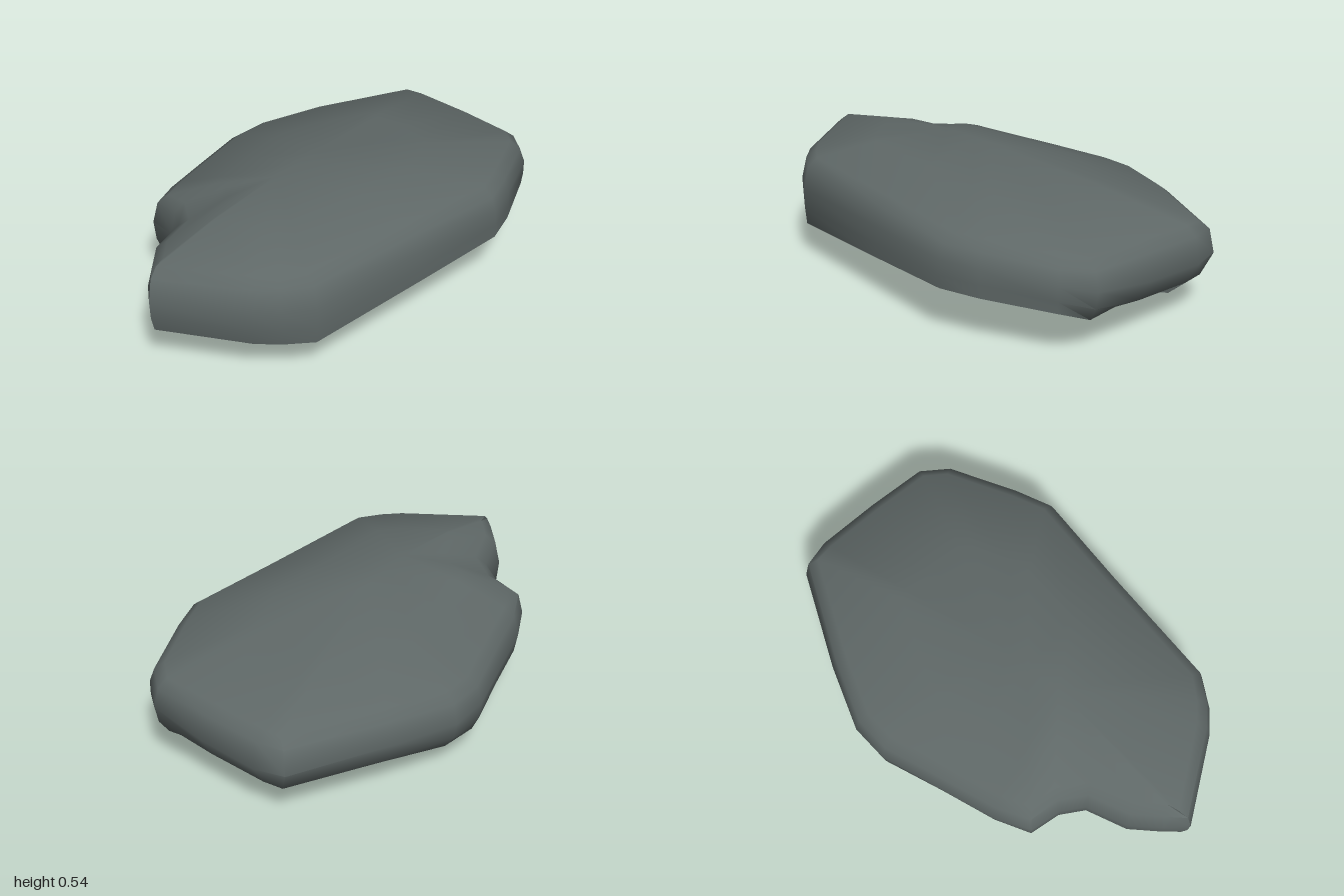
import * as THREE from 'three';
import { toCreasedNormals } from 'three/addons/utils/BufferGeometryUtils.js';

// Outline seen from above: x, z, top edge height, bottom edge height, bottom edge inset
const OUTLINE = [
  [-1, -0.08, 0.44, 0.17, 0.03], [-0.92, -0.16, 0.445, 0.16, 0.03],
  [-0.8, -0.245, 0.44, 0.14, 0.04], [-0.62, -0.29, 0.43, 0.12, 0.05],
  [-0.55, -0.37, 0.42, 0.12, 0.04], [-0.51, -0.505, 0.4, 0.12, 0.04],
  [-0.35, -0.565, 0.385, 0.11, 0.06], [-0.1, -0.61, 0.375, 0.11, 0.06],
  [0.17, -0.66, 0.36, 0.115, 0.04], [0.34, -0.64, 0.36, 0.1, 0.07],
  [0.6, -0.5, 0.38, 0.09, 0.12], [0.98, -0.255, 0.39, 0.08, 0.18],
  [1, -0.12, 0.395, 0.07, 0.21], [0.96, 0.15, 0.4, 0.08, 0.19],
  [0.91, 0.41, 0.4, 0.15, 0.06], [0.8, 0.515, 0.41, 0.2, 0.01],
  [0.5, 0.615, 0.425, 0.21, 0], [0.33, 0.655, 0.43, 0.215, 0],
  [-0.1, 0.565, 0.435, 0.185, 0], [-0.64, 0.46, 0.44, 0.15, 0.01],
  [-0.75, 0.37, 0.44, 0.155, 0.02], [-0.82, 0.28, 0.44, 0.16, 0.02],
];

const { lerp, clamp } = THREE.MathUtils;

// Column of points from the top ridge down over the side to the bottom keel
function column(i) {
  const n = OUTLINE.length;
  const [x, z, top, bottom, inset] = OUTLINE[i];
  const a = OUTLINE[(i + n - 1) % n], b = OUTLINE[(i + 1) % n];
  const tx = b[0] - a[0], tz = b[1] - a[1], len = Math.hypot(tx, tz);
  const at = (d, y) => [x - (tz / len) * d, y, z + (tx / len) * d];
  const mix = (p, q, t, lift) => [lerp(p[0], q[0], t), lerp(p[1], q[1], t) + lift, lerp(p[2], q[2], t)];

  const rx = clamp(x, -0.26, 0);
  const ridge = [rx, 0.535 - rx * 0.03, -0.04];
  const keel = [clamp(x, -0.26, 0.27), x < -0.1 ? 0.012 : 0, 0];
  const topEdge = at(0.07, top), bottomEdge = at(inset, bottom);
  return [
    ridge,
    mix(ridge, topEdge, 0.55, 0.014),
    topEdge,
    at(0.025, top - 0.035),
    at(0.003, lerp(bottom, top, 0.55)),
    at(inset * 0.3, lerp(bottom, top, 0.25)),
    bottomEdge,
    mix(keel, bottomEdge, 0.5, -0.005),
    keel,
  ];
}

export function createModel() {
  const stone = new THREE.MeshStandardMaterial({ color: 0x5f6867 });
  stone.name = 'slate grey';

  // Skin the columns into one closed shell
  const columns = OUTLINE.map((_, i) => column(i));
  const rows = columns[0].length, index = [];
  for (let i = 0; i < columns.length; i++) {
    const j = (i + 1) % columns.length;
    for (let r = 0; r < rows - 1; r++) {
      const u = i * rows + r, v = j * rows + r;
      index.push(u, v, u + 1, v, v + 1, u + 1);
    }
  }
  const shell = new THREE.BufferGeometry();
  shell.setAttribute('position', new THREE.Float32BufferAttribute(columns.flat(2), 3));
  shell.setIndex(index);

  // Soft shoulders, with a crease only along the sharp lower rim
  const rock = new THREE.Mesh(toCreasedNormals(shell, 1.0), stone);
  rock.name = 'rock';
  const group = new THREE.Group();
  group.name = 'flatRock';
  group.add(rock);
  return group;
}
